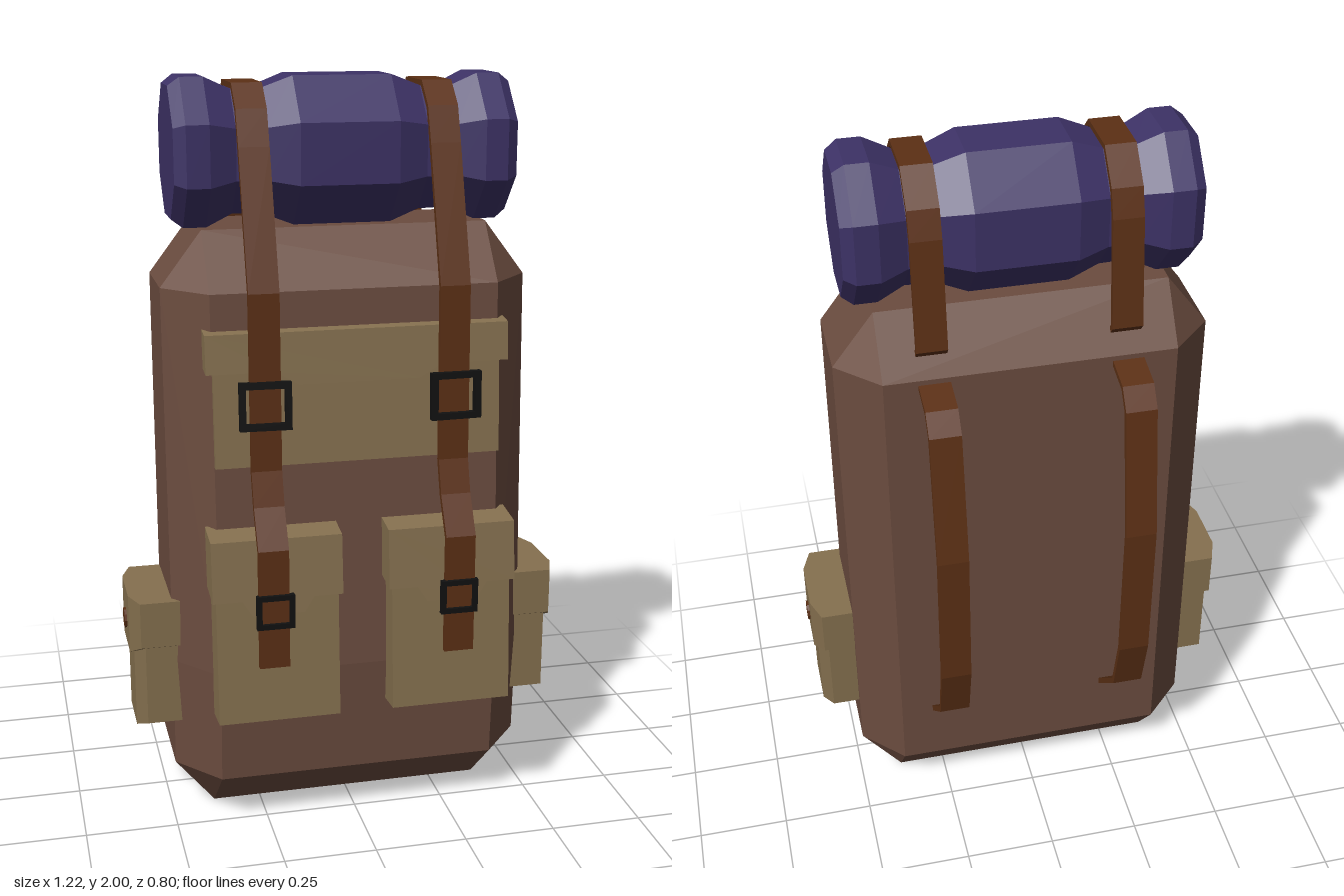
import * as THREE from 'three';
import { ConvexGeometry } from 'three/addons/geometries/ConvexGeometry.js';

const mat = (color) => new THREE.MeshStandardMaterial({ color, flatShading: true });
const V = (x, y, z) => new THREE.Vector3(x, y, z);

export function createModel() {
  const model = new THREE.Group();
  model.name = 'backpack';
  const canvas = mat(0x6b4c3f), khaki = mat(0x85704f), cloth = mat(0x3d3266);
  const leather = mat(0x5c3015), metal = mat(0x111111);

  const add = (name, geometry, material) => {
    const mesh = new THREE.Mesh(geometry, material);
    mesh.name = name;
    model.add(mesh);
    return mesh;
  };

  // Extrudes a side outline of [z, y] points across x, centred on cx
  const sideExtrude = (points, width, cx) => {
    const shape = new THREE.Shape(points.map(([z, y]) => new THREE.Vector2(z, y)));
    return new THREE.ExtrudeGeometry(shape, { depth: width, bevelEnabled: false })
      .translate(0, 0, -width / 2).rotateY(-Math.PI / 2).translate(cx, 0, 0);
  };

  // Thickens a [z, y] path into a ribbon outline with mitred bends
  const ribbon = (path, thickness) => {
    const pts = path.map(([z, y]) => new THREE.Vector2(z, y));
    const left = [], right = [];
    pts.forEach((p, i) => {
      const a = p.clone().sub(pts[Math.max(i - 1, 0)]).normalize();
      const b = pts[Math.min(i + 1, pts.length - 1)].clone().sub(p).normalize();
      const t = a.clone().add(b).normalize();
      const n = new THREE.Vector2(-t.y, t.x);
      const ref = i ? a : b;
      const h = thickness / 2 / Math.max(0.5, Math.abs(t.dot(ref)));
      left.push([p.x + n.x * h, p.y + n.y * h]);
      right.unshift([p.x - n.x * h, p.y - n.y * h]);
    });
    return left.concat(right);
  };

  // Flap with a dipped lower edge; origin at its top centre, leaning back with the bag
  const flapGeometry = (width, height, dip, depth) => {
    const w = width / 2, inner = w * 0.4, outer = w * 0.55;
    const outline = [[-w, 0], [-w, -height], [-outer, -height], [-inner, -height - dip],
      [inner, -height - dip], [outer, -height], [w, -height], [w, 0]];
    const shape = new THREE.Shape(outline.map(([x, y]) => new THREE.Vector2(x, y)));
    const lean = new THREE.Matrix4().set(1, 0, 0, 0, 0, 1, -0.15, 0, 0, -0.1, 1, 0, 0, 0, 0, 1);
    return new THREE.ExtrudeGeometry(shape, { depth, bevelEnabled: false }).applyMatrix4(lean);
  };

  // Square buckle frame
  const buckleGeometry = (w, h, bar, depth) => {
    const rect = (C, a, b) => new C([[-a, -b], [a, -b], [a, b], [-a, b]]
      .map(([x, y]) => new THREE.Vector2(x, y)));
    const shape = rect(THREE.Shape, w / 2, h / 2);
    shape.holes.push(rect(THREE.Path, w / 2 - bar, h / 2 - bar));
    return new THREE.ExtrudeGeometry(shape, { depth, bevelEnabled: false })
      .translate(0, 0, -depth / 2);
  };

  // Main bag: bevelled box, fuller at the lower front
  const bag = [];
  for (const s of [-1, 1]) {
    for (const y of [0, 1.62]) bag.push(V(s * 0.38, y, 0.13), V(s * 0.38, y, -0.1));
    for (const [y, front, side] of [[0.145, 0.29, 0.16], [0.46, 0.31, 0.178], [1.475, 0.25, 0.13]]) {
      bag.push(V(s * 0.38, y, front), V(s * 0.49, y, side),
        V(s * 0.49, y, -0.1), V(s * 0.38, y, -0.21));
    }
  }
  add('mainBag', new ConvexGeometry(bag), canvas);

  // Bedroll: eight-sided roll pinched where the straps cross
  const half = [[0.45, 0.168], [0.42, 0.19], [0.36, 0.19], [0.29, 0.158], [0.21, 0.16], [0.13, 0.19]];
  const roll = [[0.45, 0], ...half].map(([x, r]) => [-x, r])
    .concat(half.slice().reverse(), [[0.45, 0]])
    .map(([x, r]) => new THREE.Vector2(r / Math.cos(Math.PI / 8), x));
  add('bedroll', new THREE.LatheGeometry(roll, 8, Math.PI / 8)
    .rotateZ(-Math.PI / 2).scale(1, 1, 0.9).translate(0, 1.81, 0.017), cloth);

  // Wide upper pocket
  add('upperPocket', sideExtrude([[0.23, 1.36], [0.272, 1.36], [0.296, 1.03], [0.25, 1.03]], 0.76, 0), khaki);
  add('upperPocketFlap', flapGeometry(0.8, 0.1, 0.035, 0.05), khaki).position.set(0, 1.385, 0.232);

  const frontPath = [[-0.165, 1.525], [-0.182, 1.545], [-0.148, 1.83], [-0.125, 1.9], [-0.055, 1.977],
    [0.09, 1.977], [0.15, 1.92], [0.182, 1.83], [0.293, 1.48], [0.304, 1.02], [0.332, 0.93],
    [0.387, 0.83], [0.389, 0.51]];
  const backPath = [[-0.19, 1.458], [-0.295, 1.435], [-0.333, 1.385], [-0.39, 1.03],
    [-0.385, 0.625], [-0.345, 0.46], [-0.19, 0.31]];

  for (const s of [-1, 1]) {
    const side = s > 0 ? 'left' : 'right';

    // Lower front pockets
    const cx = s * 0.235;
    add(side + 'FrontPocket', sideExtrude([[0.27, 0.82], [0.355, 0.82], [0.386, 0.355], [0.29, 0.345]], 0.325, cx), khaki);
    add(side + 'FrontPocketFlap', flapGeometry(0.345, 0.16, 0.04, 0.095), khaki).position.set(cx, 0.867, 0.265);

    // Straps and buckles
    add(side + 'FrontStrap', sideExtrude(ribbon(frontPath, 0.015), 0.08, s * 0.25), leather);
    add(side + 'ShoulderStrap', sideExtrude(ribbon(backPath, 0.015), 0.082, s * 0.25), leather);
    const upper = add(side + 'UpperBuckle', buckleGeometry(0.135, 0.125, 0.017, 0.02), metal);
    upper.position.set(s * 0.252, 1.195, 0.314);
    upper.rotation.set(-0.04, s * 0.05, 0);
    const lower = add(side + 'LowerBuckle', buckleGeometry(0.1, 0.092, 0.014, 0.016), metal);
    lower.position.set(s * 0.247, 0.667, 0.397);

    // Side pocket with wrapped flap and button; columns are [z, x]
    const columns = [[-0.085, 0.565], [-0.02, 0.59], [0.125, 0.59], [0.19, 0.565]];
    const pocket = [], flap = [];
    columns.forEach(([z, x], i) => {
      const middle = i === 1 || i === 2;
      const bottom = middle ? 0.255 : 0.285;
      pocket.push(V(s * x, 0.62, z), V(s * x, bottom, z), V(s * 0.47, 0.62, z), V(s * 0.47, bottom, z));
      const grow = z + (z - 0.0525) * 0.05, low = middle ? 0.475 : 0.51;
      flap.push(V(s * (x + 0.012), 0.637, grow), V(s * (x + 0.012), low, grow),
        V(s * 0.47, 0.637, grow), V(s * 0.47, 0.51, grow));
    });
    add(side + 'SidePocket', new ConvexGeometry(pocket), khaki);
    add(side + 'SidePocketFlap', new ConvexGeometry(flap), khaki);
    add(side + 'SideButton', new THREE.CylinderGeometry(0.028, 0.028, 0.02, 10).rotateZ(Math.PI / 2), leather)
      .position.set(s * 0.598, 0.545, 0.052);
  }
  return model;
}
